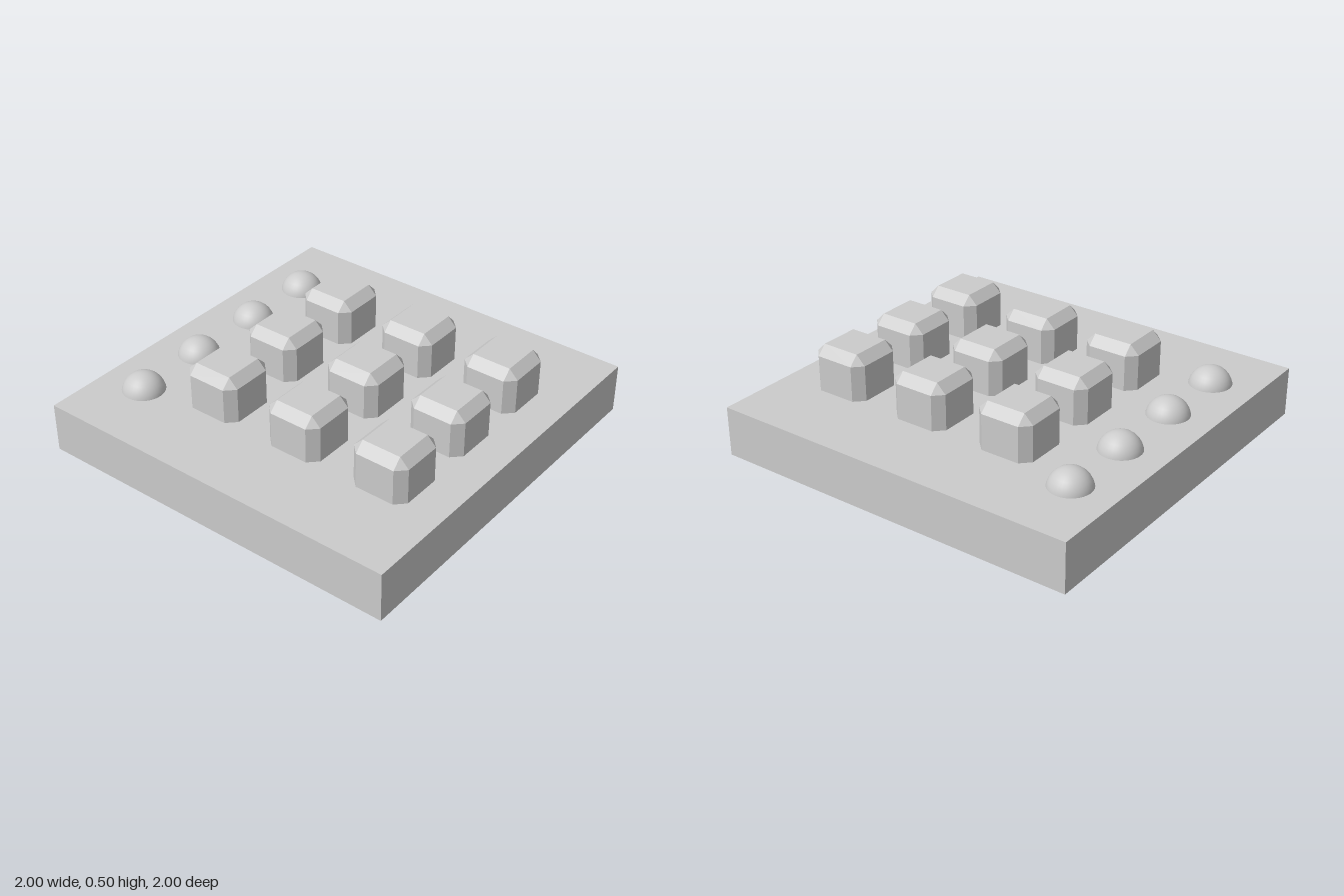
import * as THREE from 'three';
import { ConvexGeometry } from 'three/addons/geometries/ConvexGeometry.js';

const material = new THREE.MeshStandardMaterial({ color: 0xcccccc });

function addPart(parent, name, geometry, x, y, z) {
  const mesh = new THREE.Mesh(geometry, material);
  mesh.name = name;
  mesh.position.set(x, y, z);
  parent.add(mesh);
}

// Cube with every edge cut at 45 degrees and triangular corners
function chamferedCube(half, bevel) {
  const inner = half - bevel;
  const points = [];
  for (const sx of [-1, 1]) for (const sy of [-1, 1]) for (const sz of [-1, 1]) {
    points.push(
      new THREE.Vector3(sx * half, sy * inner, sz * inner),
      new THREE.Vector3(sx * inner, sy * half, sz * inner),
      new THREE.Vector3(sx * inner, sy * inner, sz * half)
    );
  }
  return new ConvexGeometry(points);
}

export function createModel() {
  const model = new THREE.Group();
  model.name = 'keypad';

  // Base slab
  const baseHeight = 0.263;
  addPart(model, 'base', new THREE.BoxGeometry(2, baseHeight, 2), 0, baseHeight / 2, 0);

  // Three by three grid of keys, partly sunk into the base
  const keys = new THREE.Group();
  keys.name = 'keys';
  const half = 0.153;
  const keyGeometry = chamferedCube(half, 0.049);
  for (const z of [-0.351, 0.153, 0.653]) {
    for (const x of [-0.442, 0, 0.442]) {
      addPart(keys, 'key', keyGeometry, x, 0.5 - half, z);
    }
  }
  model.add(keys);

  // Row of round indicator lights along the back
  const lights = new THREE.Group();
  lights.name = 'indicatorLights';
  const lightGeometry = new THREE.SphereGeometry(0.112, 32, 16);
  for (const x of [-0.622, -0.217, 0.207, 0.613]) {
    addPart(lights, 'indicatorLight', lightGeometry, x, 0.244, -0.756);
  }
  model.add(lights);

  return model;
}
